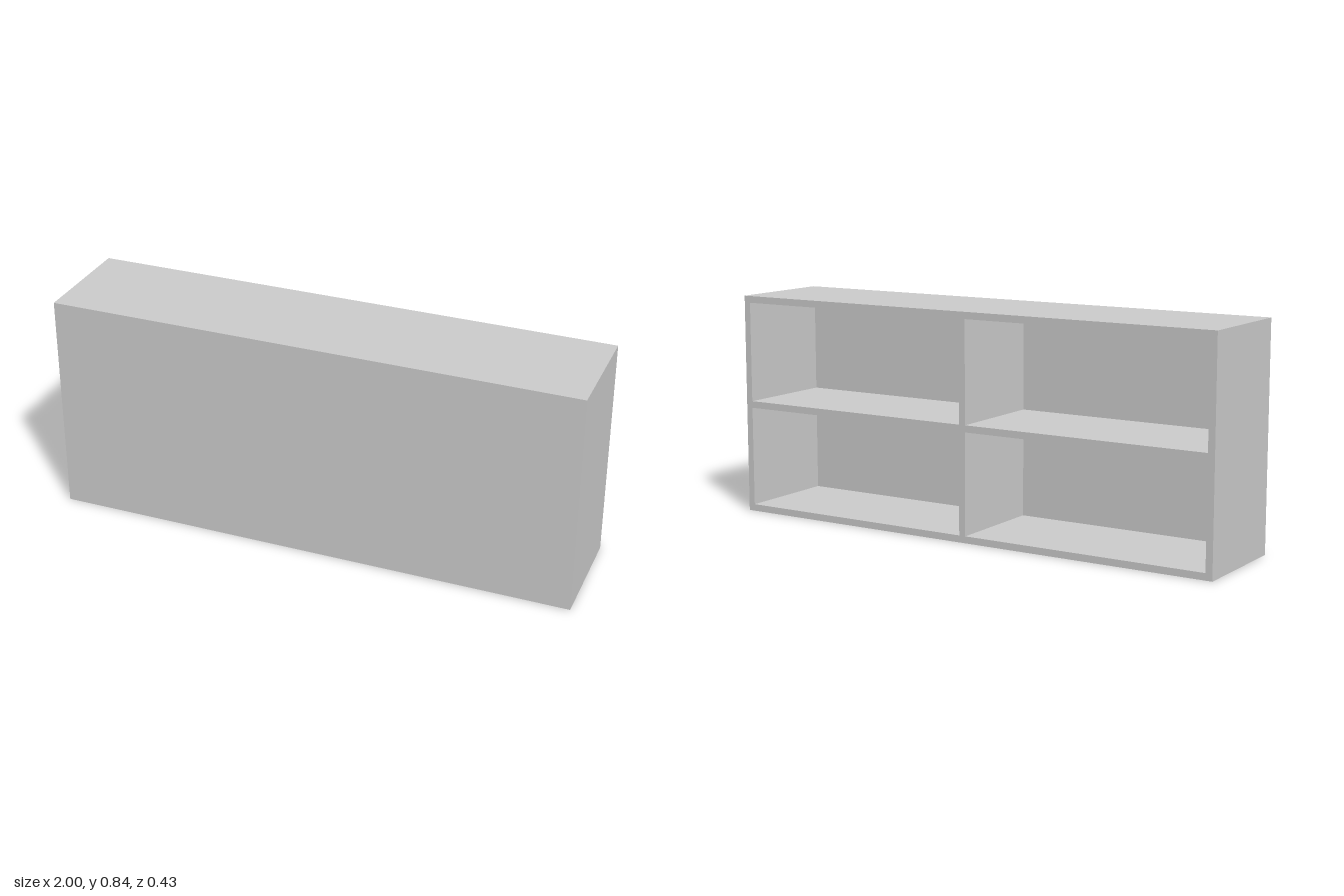
import * as THREE from 'three';

const W = 2, H = 0.844, D = 0.427; // overall size
const T = 0.026;                   // board thickness
const COLS = 2, ROWS = 2;

function rect(path, x, y, w, h) {
  path.moveTo(x, y);
  path.lineTo(x + w, y);
  path.lineTo(x + w, y + h);
  path.lineTo(x, y + h);
  path.closePath();
  return path;
}

export function createModel() {
  const model = new THREE.Group();
  model.name = 'shelfUnit';
  const material = new THREE.MeshStandardMaterial({ color: 0xcccccc });

  // Outer case, middle shelf and divider as one grid, open towards -z
  const outline = rect(new THREE.Shape(), -W / 2, 0, W, H);
  const cellW = (W - T * (COLS + 1)) / COLS;
  const cellH = (H - T * (ROWS + 1)) / ROWS;
  for (let c = 0; c < COLS; c++) {
    for (let r = 0; r < ROWS; r++) {
      outline.holes.push(rect(new THREE.Path(),
        -W / 2 + T + c * (cellW + T), T + r * (cellH + T), cellW, cellH));
    }
  }
  const frame = new THREE.Mesh(
    new THREE.ExtrudeGeometry(outline, { depth: D - T, bevelEnabled: false }), material);
  frame.name = 'shelfFrame';
  frame.position.z = -D / 2;
  model.add(frame);

  // Full panel closing the front
  const panel = new THREE.Mesh(new THREE.BoxGeometry(W, H, T), material);
  panel.name = 'frontPanel';
  panel.position.set(0, H / 2, D / 2 - T / 2);
  model.add(panel);

  return model;
}
